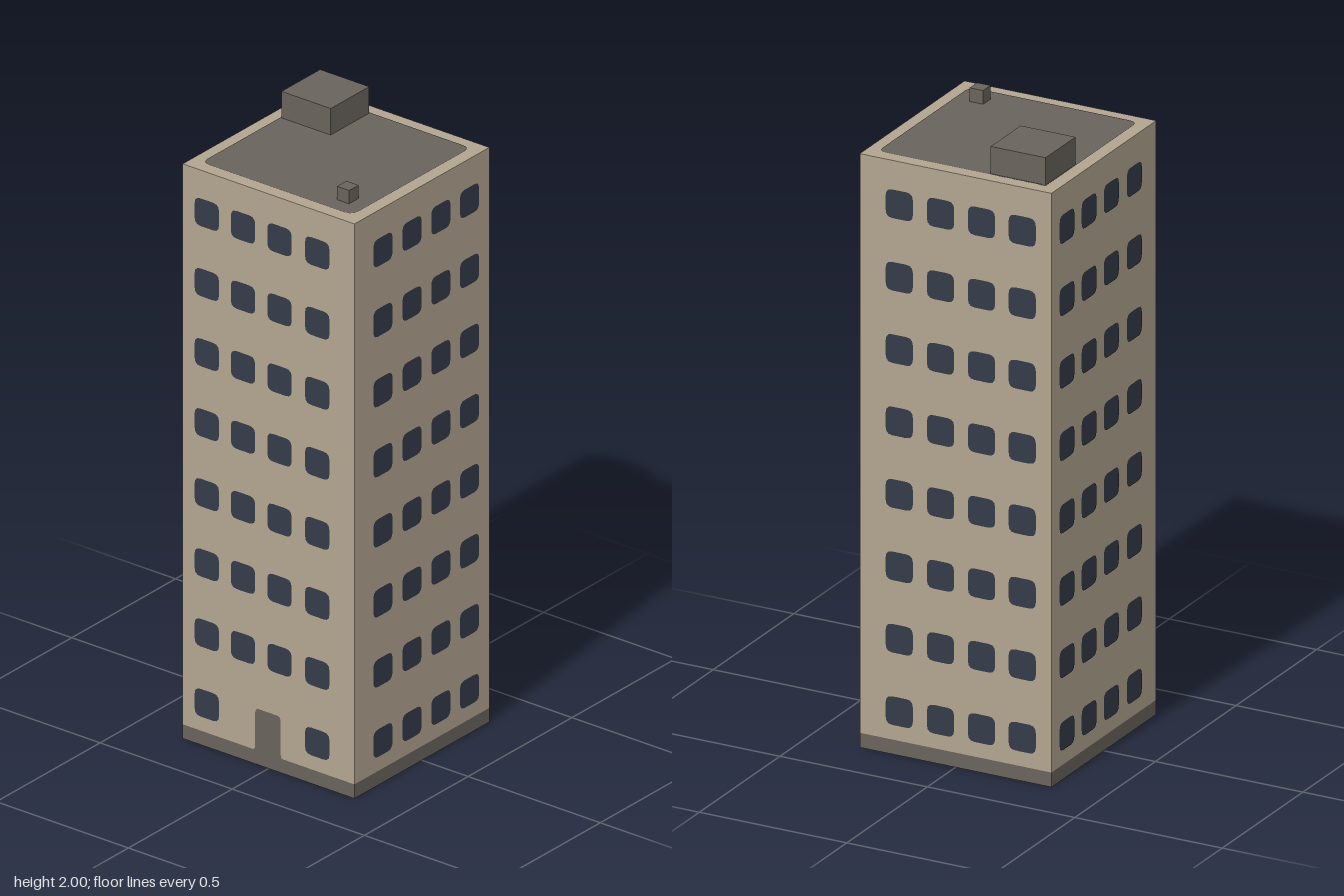
import * as THREE from 'three';

const HALF = 0.325, BASE_H = 0.047, WALL_TOP = 1.91, SKIN = 0.002;

const material = (name, color) => {
  const m = new THREE.MeshStandardMaterial({ color });
  m.name = name;
  return m;
};

// Flat panel with softened corners, centred on its origin and facing +z
function panel(w, h, r) {
  const x = w / 2, y = h / 2, s = new THREE.Shape();
  s.moveTo(-x + r, -y);
  s.lineTo(x - r, -y);
  s.quadraticCurveTo(x, -y, x, -y + r);
  s.lineTo(x, y - r);
  s.quadraticCurveTo(x, y, x - r, y);
  s.lineTo(-x + r, y);
  s.quadraticCurveTo(-x, y, -x, y - r);
  s.lineTo(-x, -y + r);
  s.quadraticCurveTo(-x, -y, -x + r, -y);
  return new THREE.ShapeGeometry(s, 3);
}

export function createModel() {
  const model = new THREE.Group();
  model.name = 'towerBlock';
  const wall = material('sandWall', 0xb2a590);
  const dark = material('darkStone', 0x69635c);
  const glass = material('windowGlass', 0x343b49);

  const add = (parent, name, geometry, mat, x, y, z) => {
    const mesh = new THREE.Mesh(geometry, mat);
    mesh.name = name;
    mesh.position.set(x, y, z);
    parent.add(mesh);
    return mesh;
  };
  const box = (name, w, h, d, mat, x, bottom, z) =>
    add(model, name, new THREE.BoxGeometry(w, h, d), mat, x, bottom + h / 2, z);

  // Plinth, walls and rooftop boxes
  box('plinth', HALF * 2, BASE_H, HALF * 2, dark, 0, 0, 0);
  box('walls', HALF * 2, WALL_TOP - BASE_H, HALF * 2, wall, 0, BASE_H, 0);
  box('roofHut', 0.186, 2 - WALL_TOP, 0.186, dark, -0.188, WALL_TOP, -0.188);
  box('roofVent', 0.046, 0.046, 0.046, dark, 0.209, WALL_TOP, 0.209);

  // Dark roof surface inside the pale rim
  const roof = add(model, 'roofDeck', panel(0.57, 0.57, 0.03), dark, 0, WALL_TOP + SKIN, 0);
  roof.rotation.x = -Math.PI / 2;

  // Windows: four columns by eight floors on each side
  const windowShape = panel(0.092, 0.092, 0.022);
  const frontColumns = [-0.232, -0.095, 0.043, 0.186];
  const backColumns = [-0.19, -0.05, 0.089, 0.227];
  const sides = [
    ['frontWindows', 0, frontColumns],
    ['leftWindows', Math.PI / 2, backColumns],
    ['backWindows', Math.PI, backColumns],
    ['rightWindows', -Math.PI / 2, frontColumns],
  ];
  for (const [name, turn, columns] of sides) {
    const side = new THREE.Group();
    side.name = name;
    side.rotation.y = turn;
    model.add(side);
    for (let floor = 0; floor < 8; floor++) {
      columns.forEach((x, i) => {
        // The doorway takes the two middle places on the ground floor
        if (turn === 0 && floor === 0 && (i === 1 || i === 2)) return;
        add(side, 'window', windowShape, glass, x, 0.141 + floor * 0.2329, HALF + SKIN);
      });
    }
  }

  // Doorway, flaring slightly where it meets the plinth
  const door = new THREE.Shape();
  door.moveTo(-0.062, BASE_H);
  door.lineTo(0.06, BASE_H);
  door.quadraticCurveTo(0.047, BASE_H, 0.047, 0.064);
  door.lineTo(0.047, 0.172);
  door.quadraticCurveTo(0.047, 0.187, 0.034, 0.187);
  door.lineTo(-0.036, 0.187);
  door.quadraticCurveTo(-0.049, 0.187, -0.049, 0.172);
  door.lineTo(-0.049, 0.064);
  door.quadraticCurveTo(-0.049, BASE_H, -0.062, BASE_H);
  add(model, 'door', new THREE.ShapeGeometry(door, 3), dark, 0, 0, HALF + SKIN);

  return model;
}
